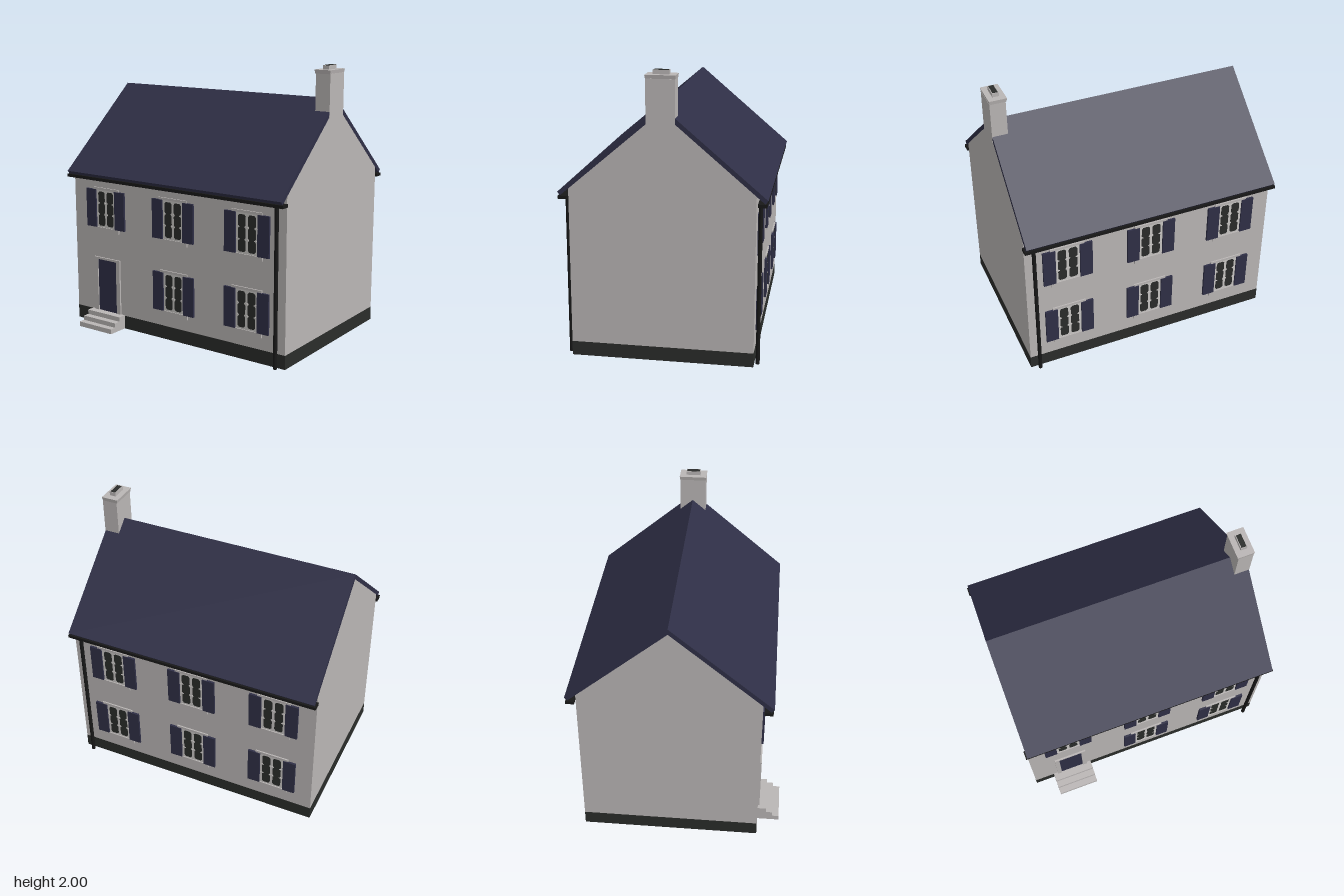
import * as THREE from 'three';

const material = (name, color) => {
  const m = new THREE.MeshStandardMaterial({ color });
  m.name = name;
  return m;
};

export function createModel() {
  const stone = material('pale stone', 0xbab6b5);
  const frameWhite = material('window white', 0xcac7c5);
  const navy = material('navy slate and paint', 0x2f2f46);
  const dark = material('dark plinth and glass', 0x2a2c2a);
  const black = material('black ironwork', 0x181818);

  const house = new THREE.Group();
  house.name = 'house';
  const CZ = -0.04, HALF_X = 0.94, HALF_Z = 0.63; // house centre and half sizes
  const RIDGE = 1.772, SLOPE = 0.852, DROP = 0.04; // roof line and vertical thickness

  const add = (parent, name, geometry, mat) => {
    const mesh = new THREE.Mesh(geometry, mat);
    mesh.name = name;
    parent.add(mesh);
    return mesh;
  };
  // Box given by its extents
  const box = (parent, name, mat, x0, x1, y0, y1, z0, z1) => {
    const mesh = add(parent, name, new THREE.BoxGeometry(x1 - x0, y1 - y0, z1 - z0), mat);
    mesh.position.set((x0 + x1) / 2, (y0 + y1) / 2, (z0 + z1) / 2);
    return mesh;
  };
  // Profile drawn in (z, y) and extruded along x, centred on the house
  const alongX = (name, mat, points, halfX) => {
    const shape = new THREE.Shape(points.map(([z, y]) => new THREE.Vector2(-z, y)));
    const geometry = new THREE.ExtrudeGeometry(shape, { depth: 2 * halfX, bevelEnabled: false });
    geometry.rotateY(Math.PI / 2).translate(-halfX, 0, CZ);
    return add(house, name, geometry, mat);
  };

  // Plinth, gabled walls and roof
  box(house, 'plinth', dark, -HALF_X, HALF_X, 0, 0.1, CZ - HALF_Z, CZ + HALF_Z);
  const under = RIDGE - DROP;
  const wallTop = under - HALF_Z * SLOPE;
  alongX('walls', stone, [
    [-HALF_Z, 0.1], [HALF_Z, 0.1], [HALF_Z, wallTop], [0, under], [-HALF_Z, wallTop],
  ], HALF_X - 0.001);
  const eave = 0.707, inner = 0.687; // slab ends are cut square to the slope
  alongX('roof', navy, [
    [0, RIDGE], [-eave, RIDGE - eave * SLOPE], [-inner, under - inner * SLOPE],
    [0, under], [inner, under - inner * SLOPE], [eave, RIDGE - eave * SLOPE],
  ], HALF_X);

  // Chimney, flush with the right gable
  const chimney = new THREE.Group();
  chimney.name = 'chimney';
  house.add(chimney);
  box(chimney, 'chimneyStack', stone, 0.83, 0.942, 1.645, 1.945, -0.135, 0.059);
  const cap = box(chimney, 'chimneyCap', stone, 0.82, 0.945, 1.943, 1.97, -0.14, 0.064);
  const p = cap.geometry.attributes.position;
  for (let i = 0; i < p.count; i++) { // taper the cap underside
    if (p.getY(i) < 0) p.setXYZ(i, p.getX(i) * 0.92, p.getY(i), p.getZ(i) * 0.96);
  }
  cap.geometry.computeVertexNormals();
  box(chimney, 'chimneyPot', stone, 0.86, 0.906, 1.97, 1.998, -0.092, 0.016);
  box(chimney, 'flueOpening', dark, 0.865, 0.901, 1.993, 2.0, -0.087, 0.011);

  // Column of three chamfered panes
  const paneShape = new THREE.Shape();
  const right = [];
  for (let i = 0; i < 3; i++) {
    const y = -0.13 + i * 0.0867;
    right.push([0.02, y], [0.031, y + 0.013], [0.031, y + 0.0737], [0.02, y + 0.0867]);
  }
  const outline = [...right, ...right.map(([x, y]) => [-x, y]).reverse()];
  paneShape.setFromPoints(outline.map(([x, y]) => new THREE.Vector2(x, y)));
  const paneGeometry = new THREE.ExtrudeGeometry(paneShape, { depth: 0.003, bevelEnabled: false });

  // Shuttered window, centred at (x, y) on a facade whose wall is z = 0
  const addWindow = (facade, x, y) => {
    const win = new THREE.Group();
    win.name = 'window';
    win.position.set(x, y, 0);
    facade.add(win);
    box(win, 'lintel', stone, -0.125, 0.125, 0.143, 0.16, 0, 0.01);
    box(win, 'sill', stone, -0.125, 0.125, -0.175, -0.143, 0, 0.012);
    box(win, 'windowFrame', frameWhite, -0.09, 0.09, -0.143, 0.143, 0, 0.005);
    for (const side of [-1, 1]) {
      const pane = add(win, 'panes', paneGeometry, dark);
      pane.position.set(side * 0.041, 0, 0.004);
      const c = side * 0.136;
      box(win, 'shutter', navy, c - 0.046, c + 0.046, -0.144, 0.144, 0, 0.016);
    }
    // Glazing bars
    for (const barY of [-0.043, 0.043]) {
      for (const barX of [-0.071, 0, 0.071]) {
        box(win, 'glazingBar', frameWhite, barX - 0.012, barX + 0.012, barY - 0.004, barY + 0.004, 0.004, 0.008);
      }
    }
  };

  // Front and back facades: windows, gutter and downpipe
  const addFacade = (name, sign) => {
    const facade = new THREE.Group();
    facade.name = name;
    facade.position.z = CZ + sign * HALF_Z;
    if (sign < 0) facade.rotation.y = Math.PI;
    house.add(facade);
    for (const x of [-0.63, 0, 0.63]) {
      for (const y of [0.363, 0.9]) {
        if (sign > 0 && x < 0 && y < 0.5) continue; // the door stands here
        addWindow(facade, x, y);
      }
    }
    box(facade, 'gutter', black, -0.95, 0.95, 1.124, 1.146, 0.01, 0.07);
    const pipe = add(facade, 'downpipe', new THREE.CylinderGeometry(0.014, 0.014, 1.135, 12), black);
    pipe.position.set(sign * 0.876, 0.5675, 0.024);
    return facade;
  };
  const front = addFacade('frontFacade', 1);
  addFacade('backFacade', -1);

  // Front door with its surround
  const door = new THREE.Group();
  door.name = 'frontDoor';
  door.position.x = -0.63;
  front.add(door);
  box(door, 'doorPanel', navy, -0.09, 0.09, 0.1, 0.506, 0, 0.004);
  for (const side of [-1, 1]) {
    const c = side * 0.1075;
    box(door, 'doorJamb', stone, c - 0.0175, c + 0.0175, 0.1, 0.506, 0, 0.012);
  }
  box(door, 'doorLintel', stone, -0.125, 0.125, 0.506, 0.522, 0, 0.012);

  // Three stone steps
  [[0.036, 0.748], [0.07, 0.7], [0.104, 0.652]].forEach(([top, z], i) => {
    box(house, 'step', stone, -0.787, -0.473, i * 0.035, top, 0.585, z);
  });

  return house;
}
